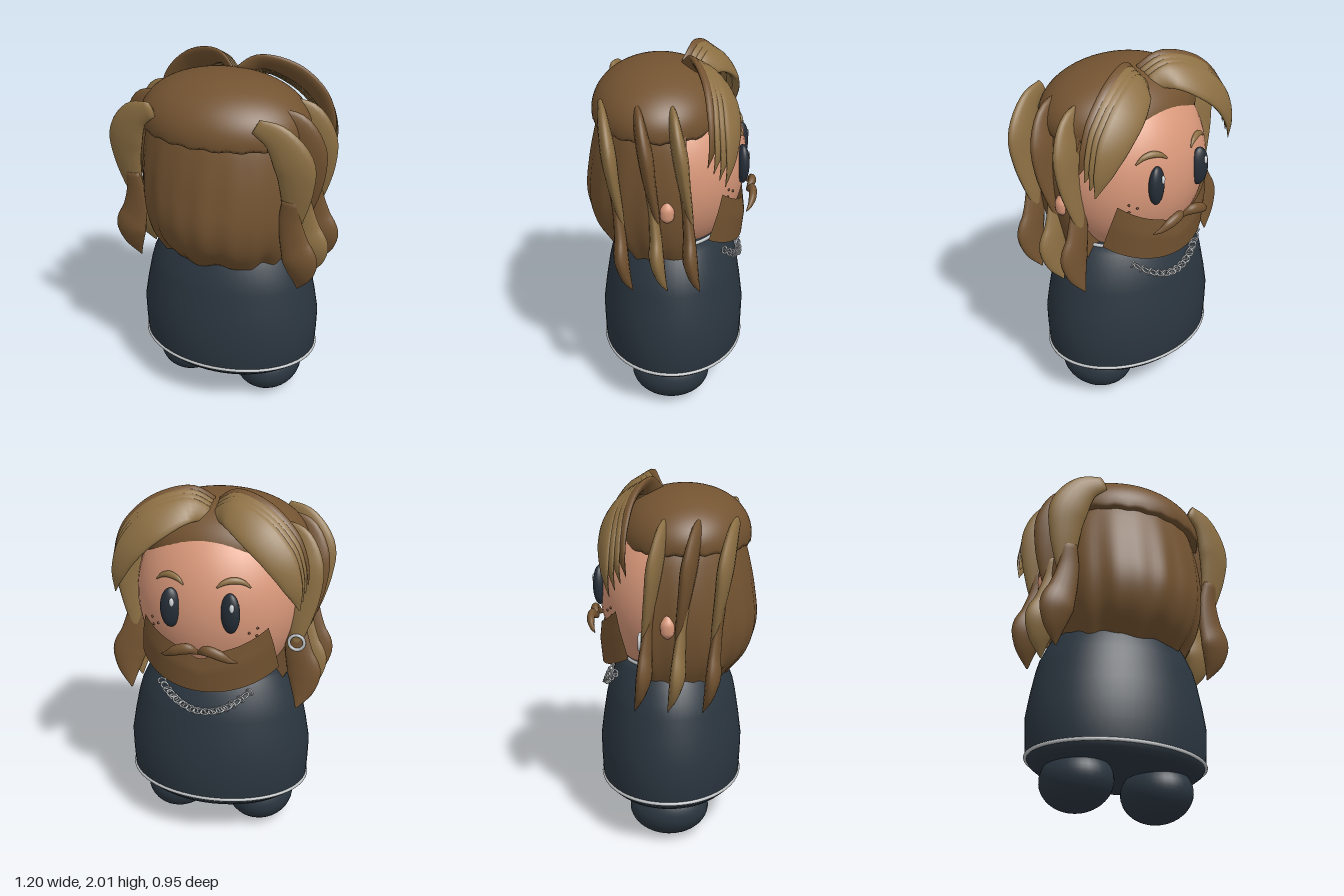
import * as THREE from 'three';
import { mergeVertices } from 'three/addons/utils/BufferGeometryUtils.js';

const V = (x, y, z) => new THREE.Vector3(x, y, z);
const mat = (name, color, side = THREE.FrontSide) =>
  Object.assign(new THREE.MeshStandardMaterial({ color, side }), { name });

export function createModel() {
  const group = new THREE.Group();
  const cloth = mat('dark cloth', 0x2b3640);
  const skin = mat('skin', 0xd9987a);
  const brown = mat('brown hair', 0x735331, THREE.DoubleSide);
  const tan = mat('light hair', 0x8d7044);
  const silver = mat('silver', 0xbfc2c4);
  const eyeMat = mat('eye black', 0x252d36);
  const glint = mat('eye glint', 0xd8dce0);
  const freckleMat = mat('freckle', 0x5f3a24);

  const add = (name, geometry, material, pos = [0, 0, 0], scale = [1, 1, 1]) => {
    const m = new THREE.Mesh(geometry, material);
    m.name = name;
    m.position.set(...pos);
    m.scale.set(...scale);
    group.add(m);
    return m;
  };
  const ball = (name, material, pos, radii, seg = 32) =>
    add(name, new THREE.SphereGeometry(1, seg, Math.ceil(seg * 0.7)), material, pos, radii);

  // Smooth surface from rows and columns of points
  function loft(name, rows, cols, fn, material) {
    const pos = [], idx = [];
    for (let i = 0; i <= rows; i++)
      for (let j = 0; j <= cols; j++) pos.push(...fn(i / rows, j / cols).toArray());
    for (let i = 0; i < rows; i++)
      for (let j = 0; j < cols; j++) {
        const a = i * (cols + 1) + j, c = a + cols + 1;
        idx.push(a, c, a + 1, a + 1, c, c + 1);
      }
    let g = new THREE.BufferGeometry();
    g.setAttribute('position', new THREE.Float32BufferAttribute(pos, 3));
    g.setIndex(idx);
    g = mergeVertices(g, 1e-5);
    g.computeVertexNormals();
    return add(name, g, material);
  }

  // Flat tapered lock: points are [x, y, z, halfWidth], n faces the broad side, s mirrors x
  function lock(name, points, n, thick, material, s = 1) {
    const path = new THREE.CatmullRomCurve3(points.map(p => V(p[0] * s, p[1], p[2])));
    const width = new THREE.CatmullRomCurve3(points.map(p => V(p[3], 0, 0)));
    const widest = Math.max(...points.map(p => p[3]));
    const normal = V(n[0] * s, n[1], n[2]).normalize();
    const rows = 26;
    loft(name, rows, 16, (u, v) => {
      const t = THREE.MathUtils.clamp((u * rows - 1) / (rows - 2), 0, 1);
      const end = u === 0 || u === 1 ? 0 : 1;
      const w = Math.max(width.getPoint(t).x, 0.002) * end;
      const T = path.getTangent(t);
      const S = T.clone().cross(normal).normalize();
      const N = S.clone().cross(T).normalize();
      const a = v * Math.PI * 2;
      return path.getPoint(t).addScaledVector(S, w * Math.cos(a))
        .addScaledVector(N, thick * Math.min(1, w / widest) * Math.sin(a));
    }, material);
  }

  // Robe and its silver trims
  const robe = [[0, .235], [.455, .235], [.495, .265], [.515, .3], [.522, .41], [.525, .52], [.505, .64],
    [.478, .77], [.458, .84], [.42, .92], [.385, .98], [.355, 1.02], [0, 1.03]];
  add('robe', new THREE.LatheGeometry(robe.map(p => new THREE.Vector2(...p)), 56), cloth,
    [0, 0, -.015], [1, 1, .77]);
  for (const [name, r, y] of [['hemTrim', .515, .295], ['collarTrim', .355, 1.02]]) {
    const ring = add(name, new THREE.TorusGeometry(r, .01, 10, 64), silver, [0, y, -.015], [1, .77, 1]);
    ring.rotation.x = Math.PI / 2;
  }

  // Head, and the depth of the face at a given point
  ball('head', skin, [0, 1.4, 0], [.465, .52, .415], 48);
  const faceZ = (x, y) => -.415 * Math.sqrt(1 - (x / .465) ** 2 - ((y - 1.4) / .52) ** 2);

  for (const s of [-1, 1]) {
    ball('foot', cloth, [s * .247, .165, -.012], [.193, .163, .222]);
    lock('ear', [[.47, 1.225, -.005, .012], [.478, 1.255, -.005, .036], [.48, 1.295, -.005, .038],
      [.475, 1.335, -.005, .022], [.47, 1.365, -.005, .003]], [1, 0, 0], .03, skin, s);
    const eye = ball('eye', eyeMat, [s * .162, 1.43, -.392], [.055, .11, .036], 28);
    eye.rotation.y = s * .25;
    ball('eyeGlint', glint, [s * .162 - .016, 1.47, -.423], [.013, .024, .009], 14);
    const brow = [[.09, 1.565, .004], [.125, 1.59, .014], [.17, 1.6, .018], [.215, 1.59, .014], [.255, 1.56, .004]];
    lock('eyebrow', brow.map(([x, y, w]) => [x, y, faceZ(x, y) - .01, w]), [.4, .4, -.85], .014, tan, s);
    lock('moustache', [[.0, 1.205, -.43, .012], [.055, 1.232, -.455, .03], [.12, 1.215, -.455, .028],
      [.17, 1.185, -.44, .016], [.21, 1.17, -.42, .003]], [.2, .1, -1], .022, brown, s);
    for (const [x, y] of [[.25, 1.31], [.29, 1.335], [.285, 1.29]])
      ball('freckle', freckleMat, [s * x, y, faceZ(x, y)], [.007, .007, .007], 10);
  }

  // Beard: curved sheet dipping at the mouth
  loft('beard', 10, 48, (u, v) => {
    const k = 2 * v - 1, mid = 1 - k * k;
    const top = 1.33 - .13 * mid - .04 * Math.exp(-((k / .2) ** 2));
    const bottom = 1.08 - .115 * mid;
    const phi = k * THREE.MathUtils.degToRad(46 + 11 * u);
    const r = 1.005 - .05 * Math.max(0, u - .4) - .06 * mid * Math.max(0, .4 - u);
    return V(-.472 * r * Math.sin(phi), THREE.MathUtils.lerp(top, bottom, u), -.413 * r * Math.cos(phi));
  }, brown);

  // Hair cap with a wavy rim, closed underneath
  loft('hairCap', 24, 72, (u, v) => {
    const a = v * Math.PI * 2;
    if (u === 1) return V(0, 1.68, .06);
    const p = u / (23 / 24) * 1.72;
    const wave = p > 1.5 ? .006 * Math.sin(a * 22) : 0;
    const r = Math.pow(Math.sin(p), .93);
    return V(.472 * r * Math.sin(a), 1.695 + .258 * Math.cos(p) + wave, .06 + .365 * r * Math.cos(a));
  }, brown);

  // Long back hair with shallow ripples, flat where it meets the head
  const fall = new THREE.CatmullRomCurve3([V(.43, 1.72, .37), V(.465, 1.6, .405), V(.487, 1.4, .445),
    V(.475, 1.2, .46), V(.44, 1.05, .415), V(.375, .91, .30)]);
  loft('backHair', 26, 120, (u, v) => {
    const t = Math.min(1, u / (25 / 26)), a = v * Math.PI * 2, p = fall.getPoint(t);
    if (u === 1) return V(0, .96, 0);
    const f = 1 + t * (.014 * Math.sin(a * 20) + .01 * Math.sin(a * 13 + 1));
    const y = p.y + t ** 4 * (.016 * Math.sin(a * 9) + .008 * Math.sin(a * 17));
    return V(p.x * f * Math.sin(a), y, Math.max(-.1, p.z * f * Math.cos(a)));
  }, brown);

  // Side locks: an upper crescent and a lower wave, three deep on each side
  const upper = [[.29, 1.80, .055, .042], [.40, 1.74, .03, .08], [.478, 1.6, .0, .108],
    [.487, 1.46, -.02, .09], [.47, 1.3, -.045, .06], [.45, 1.12, -.075, .004]];
  const lower = [[.46, 1.39, .035, .045], [.452, 1.27, .015, .06], [.475, 1.13, .0, .08],
    [.505, 1.03, -.005, .097], [.505, .93, -.025, .07], [.48, .82, -.06, .004]];
  for (const s of [-1, 1])
    [.29, .105, -.07].forEach((z, i) => {
      const shift = (pts, dz, dx) => pts.map(([x, y, pz, w], k) => [x + (k < 2 ? dx : 0), y, pz + dz, w]);
      lock('upperSideLock', shift(upper, z, i ? .035 : 0), [.15, 0, 1], .04, i === 1 ? brown : tan, s);
      lock('lowerSideLock', shift(lower, z - .05, 0), [.1, 0, 1], .04, i === 1 ? tan : brown, s);
    });

  // Swept fringe: stacked locks parting at the middle, the rear ones shorter
  const fringe = [[.015, 1.885, -.165, .035], [.12, 1.91, -.235, .075], [.28, 1.835, -.305, .096],
    [.405, 1.71, -.33, .085], [.475, 1.57, -.325, .05], [.505, 1.45, -.3, .003]];
  for (const s of [-1, 1])
    for (let i = 0; i < 4; i++)
      lock('fringeLock', fringe.map(([x, y, z, w], k) =>
        [x + .008 * i * (k / 5), y + .012 * i * (1 - k / 4) + .008 * i * k, z + .03 * i, w * (1 - .05 * i)]),
      [.2, .5, -.85], .026, i === 3 ? brown : tan, s);

  // Hoop earring on one ear
  add('earring', new THREE.TorusGeometry(.042, .009, 10, 28), silver, [-.465, 1.2, -.15]);

  // Chain necklace of alternating links
  const link = new THREE.TorusGeometry(.019, .005, 6, 14);
  const count = 25;
  for (let i = 0; i < count; i++) {
    const k = 2 * i / (count - 1) - 1, x = .25 * k, y = .835 + .115 * k * k;
    const rx = y < .84 ? .458 : .455 - (y - .84) * .47;
    const z = -.035 - .03 * k * k - .77 * Math.sqrt(rx * rx - x * x);
    const m = add('chainLink', link, silver, [x, y, z], [1.2, 1, 1]);
    m.rotation.set(i % 2 ? 1.1 : -.3, k * .5, k * .7);
  }
  return group;
}
